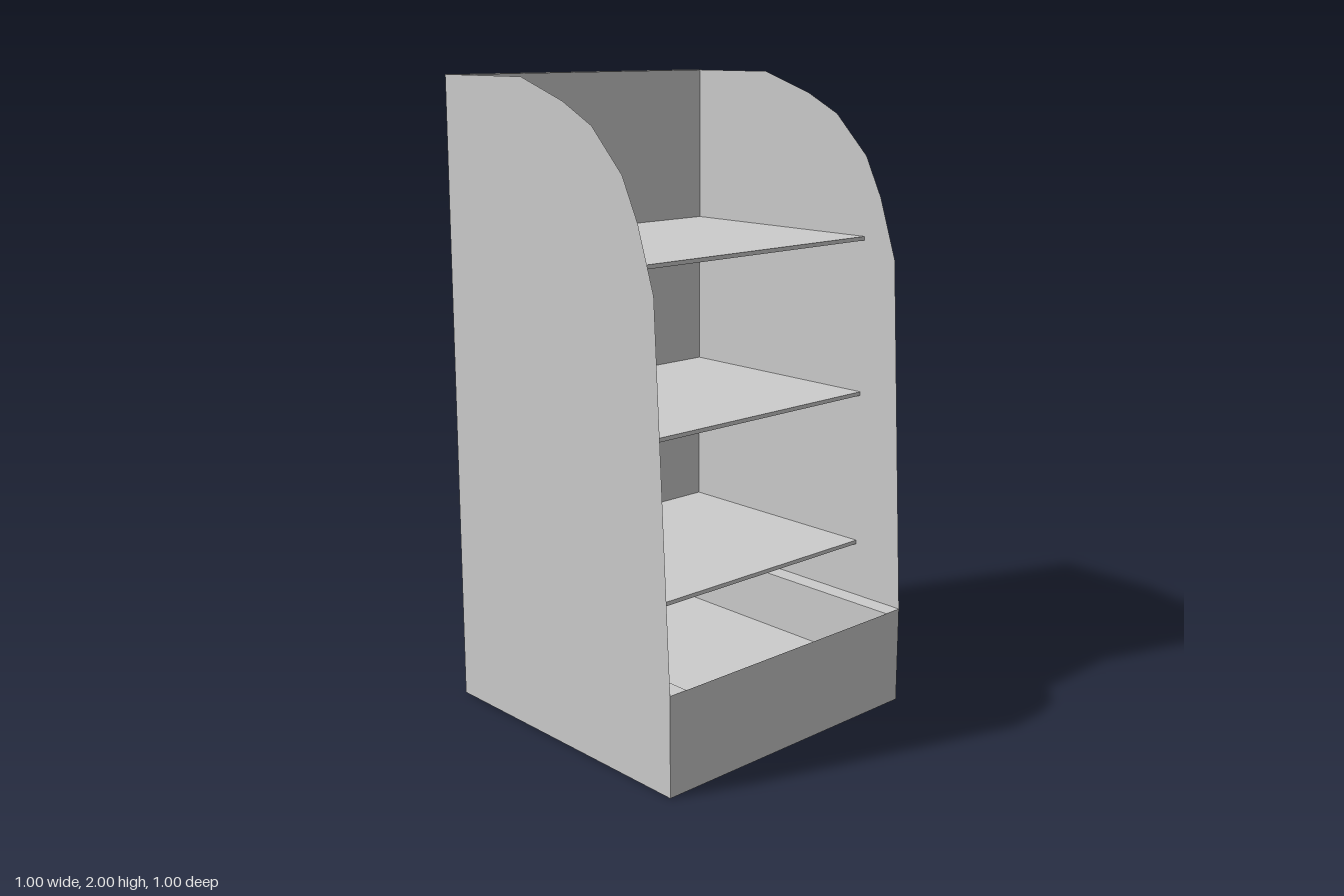
import * as THREE from 'three';

const solid = new THREE.MeshStandardMaterial({ color: 0xcccccc, flatShading: true });
const sheet = new THREE.MeshStandardMaterial({ color: 0xcccccc, flatShading: true, side: THREE.DoubleSide });

const T = 0.0625; // board thickness
const BACK = -0.5 + T; // front face of the back board
const SHELF_FRONT = 0.3125;

// Box given by its minimum and maximum corners
function box(name, [x0, y0, z0], [x1, y1, z1]) {
  const geo = new THREE.BoxGeometry(x1 - x0, y1 - y0, z1 - z0);
  geo.translate((x0 + x1) / 2, (y0 + y1) / 2, (z0 + z1) / 2);
  const mesh = new THREE.Mesh(geo, solid);
  mesh.name = name;
  return mesh;
}

// Outline in (z, y), turned into the plane across x
function sideShape(points) {
  return new THREE.Shape(points.map(([z, y]) => new THREE.Vector2(z, y)));
}

export function createModel() {
  const group = new THREE.Group();
  group.name = 'displayShelf';

  // Back board and tray floor
  group.add(box('backBoard', [-0.5, 0, -0.5], [0.5, 2, BACK]));
  group.add(box('trayFloor', [-0.5 + T, 0, BACK], [0.5 - T, 0.125, 0.5]));

  // Thin sheet closing the front of the tray
  const front = new THREE.Mesh(new THREE.PlaneGeometry(1, 0.3125), sheet);
  front.name = 'trayFront';
  front.position.set(0, 0.3125 / 2, 0.5);
  group.add(front);

  // Thin curved side sheets with thick tray walls inside them
  const sideGeo = new THREE.ShapeGeometry(sideShape([
    [-0.5, 0], [0.5, 0], [0.5, 0.3125], [0.4375, 1.4375], [0.375, 1.625],
    [0.3125, 1.75], [0.1875, 1.875], [0.0625, 1.9375], [-0.125, 2], [-0.5, 2],
  ]));
  sideGeo.rotateY(-Math.PI / 2);
  for (const [label, s] of [['left', 1], ['right', -1]]) {
    const side = new THREE.Mesh(sideGeo, sheet);
    side.name = label + 'SidePanel';
    side.position.x = s * 0.5;
    group.add(side);

    const x0 = s > 0 ? 0.5 - T : -0.5;
    group.add(box(label + 'TrayWall', [x0, 0, BACK], [x0 + T, 0.3125, 0.5]));
  }

  // Shelves: flat on top, tapering to a thin front edge
  const shelfGeo = new THREE.ExtrudeGeometry(
    sideShape([[BACK, -T], [SHELF_FRONT, -0.0125], [SHELF_FRONT, 0], [BACK, 0]]),
    { depth: 1, bevelEnabled: false },
  );
  shelfGeo.rotateY(-Math.PI / 2);
  shelfGeo.translate(0.5, 0, 0);
  [0.5, 1, 1.5].forEach((y, i) => {
    const shelf = new THREE.Mesh(shelfGeo, solid);
    shelf.name = 'shelf' + (i + 1);
    shelf.position.y = y;
    group.add(shelf);
  });

  return group;
}
